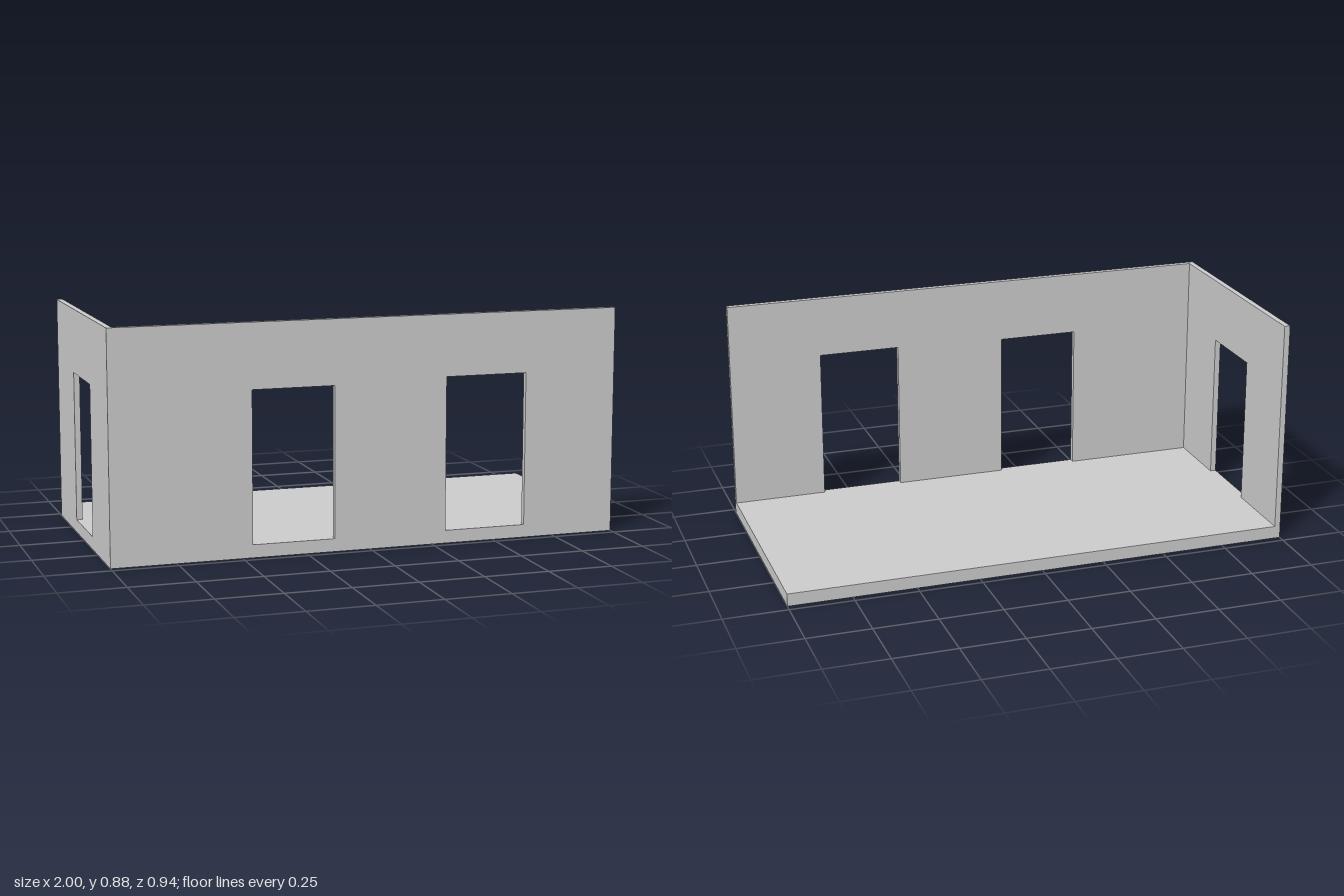
import * as THREE from 'three';

const FLOOR = 0.05, TOP = 0.883, HALF_X = 1, HALF_Z = 0.47, WALL = 0.023;

// Wall outline standing on the floor, with doorways notched up from its base.
// doors: [start, end, top] in ascending order
function wallGeometry(start, end, doors) {
  const shape = new THREE.Shape();
  shape.moveTo(start, FLOOR);
  for (const [a, b, top] of doors) {
    shape.lineTo(a, FLOOR);
    shape.lineTo(a, top);
    shape.lineTo(b, top);
    shape.lineTo(b, FLOOR);
  }
  shape.lineTo(end, FLOOR);
  shape.lineTo(end, TOP);
  shape.lineTo(start, TOP);
  shape.closePath();
  return new THREE.ExtrudeGeometry(shape, { depth: WALL, bevelEnabled: false });
}

export function createModel() {
  const group = new THREE.Group();
  group.name = 'roomCorner';
  const material = new THREE.MeshStandardMaterial({ color: 0xcccccc, flatShading: true });

  const add = (name, geometry) => {
    const mesh = new THREE.Mesh(geometry, material);
    mesh.name = name;
    group.add(mesh);
    return mesh;
  };

  // Floor slab
  add('floor', new THREE.BoxGeometry(2 * HALF_X, FLOOR, 2 * HALF_Z)).position.y = FLOOR / 2;

  // Long front wall with two doorways
  const frontWall = add('frontWall', wallGeometry(-HALF_X, HALF_X, [
    [-0.46, -0.14, 0.633],
    [0.305, 0.63, 0.645],
  ]));
  frontWall.position.z = HALF_Z - WALL;

  // Short side wall with one doorway, butting against the front wall
  const sideWall = add('sideWall', wallGeometry(-HALF_Z, HALF_Z - WALL, [
    [-0.15, 0.157, 0.633],
  ]));
  sideWall.rotation.y = -Math.PI / 2;
  sideWall.position.x = -HALF_X + WALL;

  return group;
}
